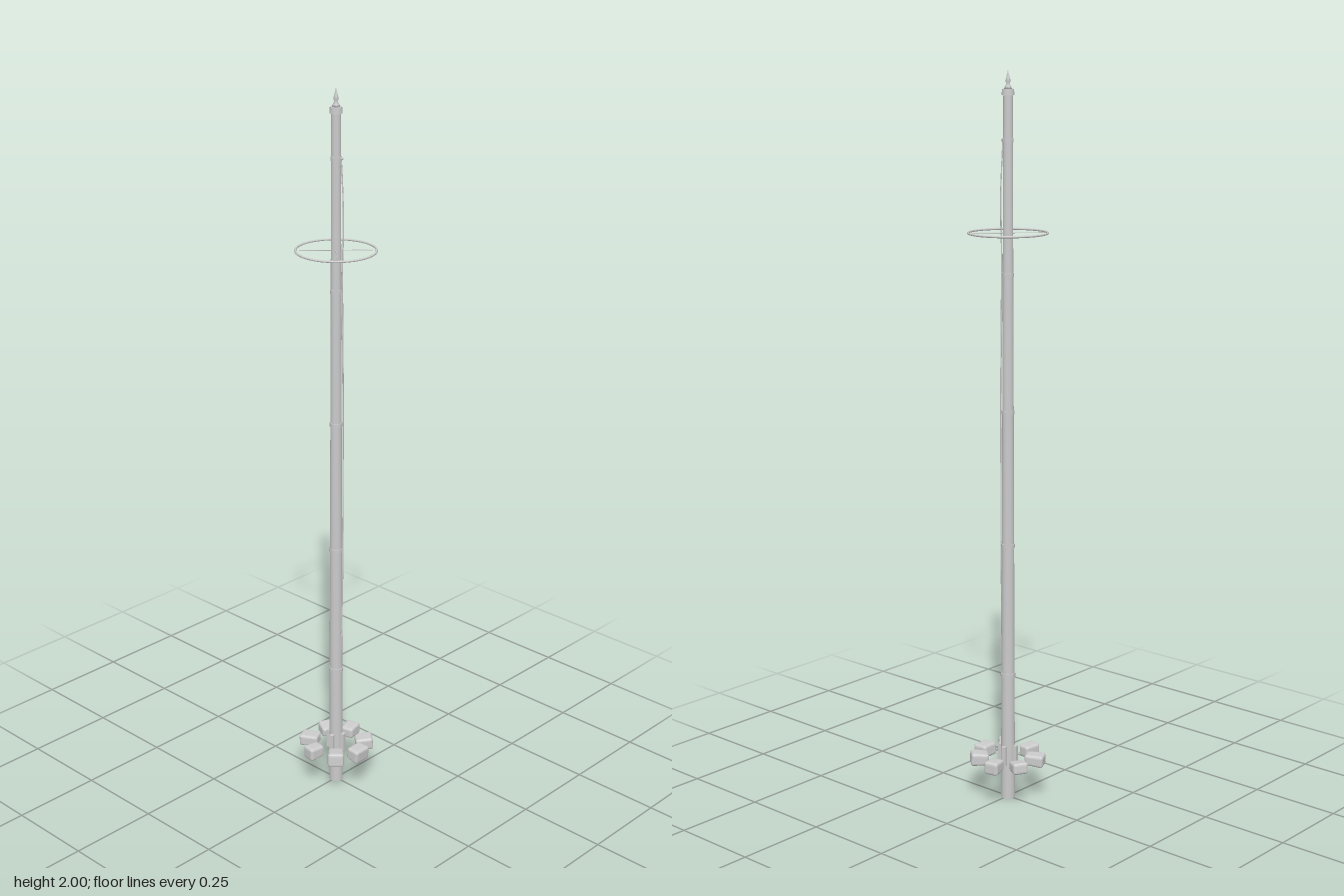
import * as THREE from 'three';
import { RoundedBoxGeometry } from 'three/addons/geometries/RoundedBoxGeometry.js';

export function createModel() {
  const model = new THREE.Group();
  const material = new THREE.MeshStandardMaterial({ color: 0xcccccc });

  function add(name, geometry, x = 0, y = 0, z = 0, parent = model) {
    const mesh = new THREE.Mesh(geometry, material);
    mesh.name = name;
    mesh.position.set(x, y, z);
    parent.add(mesh);
    return mesh;
  }

  // Tapered pole
  const poleRadius = (y) => 0.02 - 0.0075 * (y / 1.94);
  add('pole', new THREE.CylinderGeometry(poleRadius(1.94), poleRadius(0), 1.94, 12), 0, 0.97, 0);

  // Bands around the pole
  for (const y of [0.36, 0.73, 1.1, 1.47, 1.82]) {
    const r = poleRadius(y) + 0.002;
    add('poleBand', new THREE.CylinderGeometry(r, r, 0.011, 12), 0, y, 0);
  }

  // Cap and pointed finial
  add('cap', new THREE.CylinderGeometry(0.016, 0.017, 0.016, 12), 0, 1.943, 0);
  const finial = [[0, 0], [0.011, 0], [0.008, 0.008], [0.004, 0.013], [0.007, 0.021], [0.005, 0.028], [0, 0.05]];
  add('finial', new THREE.LatheGeometry(finial.map(([r, y]) => new THREE.Vector2(r, y)), 8), 0, 1.95, 0);

  // Hanging ring with four diagonal spokes
  add('ring', new THREE.TorusGeometry(0.105, 0.003, 8, 48).rotateX(Math.PI / 2), 0, 1.58, 0);
  for (let i = 0; i < 4; i++) {
    const spoke = add('ringSpoke', new THREE.CylinderGeometry(0.0012, 0.0012, 0.095, 6)
      .rotateZ(Math.PI / 2).translate(0.0475, 0, 0), 0, 1.58, 0);
    spoke.rotation.y = Math.PI / 4 + i * Math.PI / 2;
  }

  // Wedges gripping the foot of the pole
  for (let i = 0; i < 4; i++) {
    const wedge = new THREE.Group();
    wedge.name = 'wedge';
    wedge.rotation.y = 0.25 + i * Math.PI / 2;
    add('wedgeBlock', new THREE.BoxGeometry(0.013, 0.055, 0.012), 0.022, 0.127, 0, wedge);
    model.add(wedge);
  }

  // Circle of rounded stones: x, z, length outward, width, height
  const stones = [
    [-0.02, -0.08, 0.048, 0.04, 0.036],
    [0.053, -0.06, 0.05, 0.044, 0.036],
    [0.083, -0.002, 0.042, 0.053, 0.04],
    [0.056, 0.059, 0.052, 0.044, 0.04],
    [-0.012, 0.077, 0.048, 0.038, 0.038],
    [-0.07, 0.034, 0.054, 0.042, 0.034],
    [-0.073, -0.039, 0.046, 0.042, 0.032],
  ];
  stones.forEach(([x, z, length, width, height], i) => {
    const geometry = new RoundedBoxGeometry(length, height, width, 2, 0.008);
    const p = geometry.attributes.position;
    for (let k = 0; k < p.count; k++) {
      // Narrow the upper part towards the pole
      const t = p.getX(k) / length;
      p.setY(k, p.getY(k) * (0.95 + 0.18 * t));
      p.setZ(k, p.getZ(k) * (1 + 0.12 * t));
    }
    geometry.computeVertexNormals();
    const stone = add('stone', geometry, x, 0.118, z);
    stone.rotation.set(0, Math.atan2(-z, x), 0.1 * Math.sin(i * 2.4));
  });

  // Slack halyard running from the top band down to the cleat
  const ropes = [
    [[0.013, 1.82, -0.004], [0.019, 1.7, -0.007], [0.02, 1.6, -0.006], [0.017, 1.45, -0.003],
      [0.02, 1.3, -0.004], [0.021, 1, -0.005], [0.021, 0.7, -0.004], [0.021, 0.45, -0.002]],
    [[0.011, 1.82, -0.008], [0.014, 1.72, -0.011], [0.015, 1.5, -0.009], [0.017, 1.2, -0.01],
      [0.018, 0.9, -0.009], [0.02, 0.65, -0.006], [0.021, 0.45, 0.002]],
  ];
  for (const points of ropes) {
    const curve = new THREE.CatmullRomCurve3(points.map((p) => new THREE.Vector3(...p)));
    add('rope', new THREE.TubeGeometry(curve, 50, 0.0015, 6), 0, 0, 0);
  }
  add('pulley', new THREE.CylinderGeometry(0.004, 0.004, 0.008, 10).rotateX(Math.PI / 2), 0.013, 1.82, -0.005);

  // Cleat on the pole's left side
  const cleat = new THREE.Group();
  cleat.name = 'cleat';
  cleat.position.set(0.019, 0.45, 0);
  add('cleatPost', new THREE.BoxGeometry(0.008, 0.014, 0.007), 0, 0, 0, cleat);
  add('cleatBar', new THREE.BoxGeometry(0.004, 0.045, 0.006), 0.004, 0, 0, cleat);
  model.add(cleat);

  return model;
}
